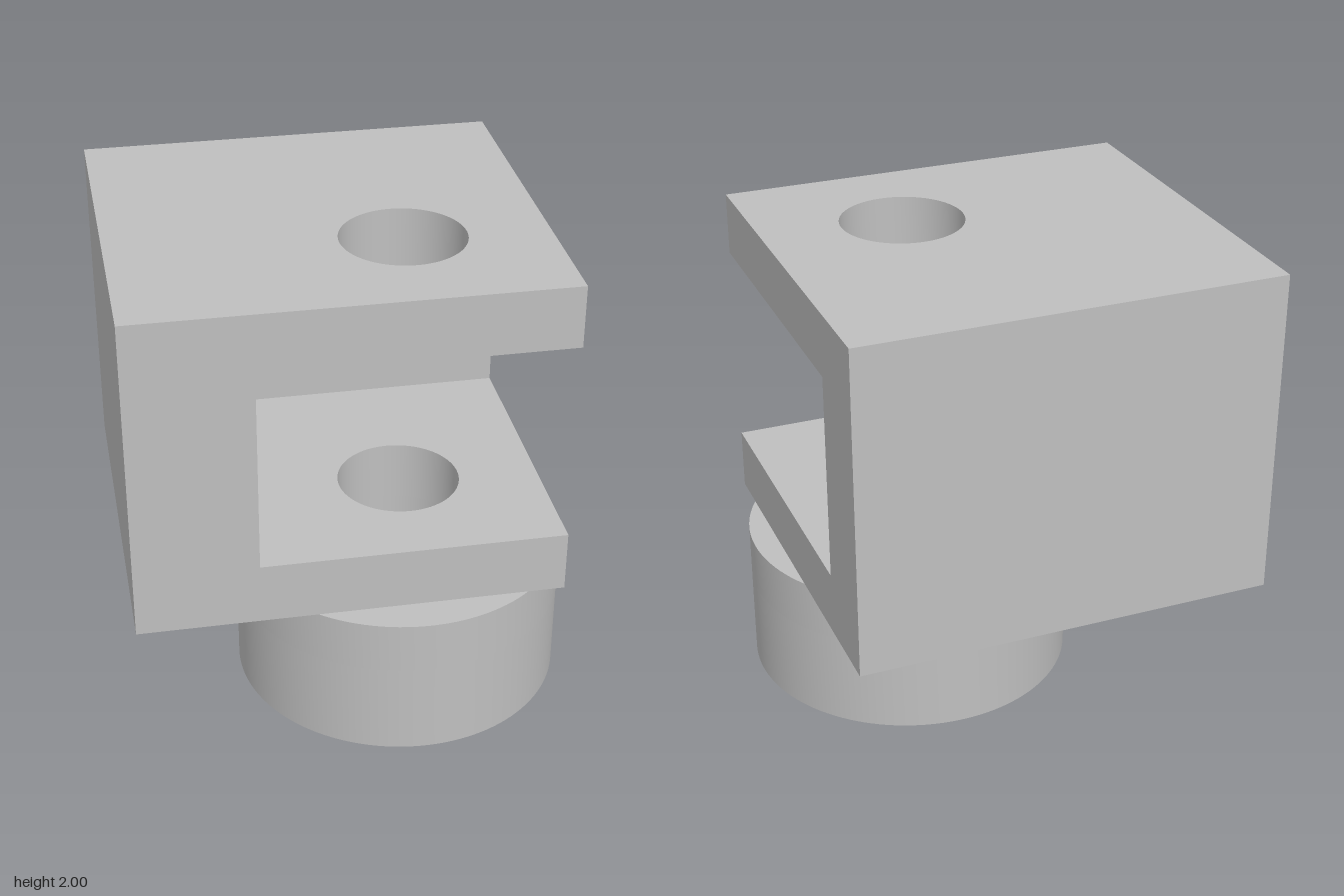
import * as THREE from 'three';
import { toCreasedNormals } from 'three/addons/utils/BufferGeometryUtils.js';

const AXIS = { x: 0.235, z: 0.193 }; // shared axis of bore, collar and socket
const BORE_R = 0.255, COLLAR_R = 0.69, HEX_R = 0.5;
const X0 = -0.93, X1 = 0.82, Z0 = -0.88, Z1 = 0.73; // block footprint
const NOTCH_X = -0.43, NOTCH_Z = -0.55;

// Outline drawn as (x, z) pairs
const outline = (pts) => new THREE.Shape(pts.map(([x, z]) => new THREE.Vector2(x, z)));

const circle = (r, Type = THREE.Path) => {
  const p = new Type();
  p.absarc(AXIS.x, AXIS.z, r, 0, Math.PI * 2, false);
  return p;
};

const hexagon = (r) => new THREE.Path(Array.from({ length: 6 }, (_, i) => {
  const a = Math.PI / 6 + i * Math.PI / 3;
  return new THREE.Vector2(AXIS.x + r * Math.cos(a), AXIS.z + r * Math.sin(a));
}));

// Stand a plan outline up between two heights
function slab(name, shape, holes, y0, y1, material) {
  shape.holes.push(...holes);
  const geo = new THREE.ExtrudeGeometry(shape, { depth: y1 - y0, bevelEnabled: false, curveSegments: 64 });
  geo.rotateX(Math.PI / 2);
  geo.translate(0, y1, 0);
  const mesh = new THREE.Mesh(toCreasedNormals(geo, Math.PI / 6), material);
  mesh.name = name;
  return mesh;
}

export function createModel() {
  const grey = new THREE.MeshStandardMaterial({ color: 0xbfbfbf });
  grey.name = 'grey';
  const group = new THREE.Group();
  group.name = 'cornerClevis';

  const square = () => outline([[X0, Z0], [X1, Z0], [X1, Z1], [X0, Z1]]);
  const corner = outline([[X0, Z0], [X1, Z0], [X1, NOTCH_Z], [NOTCH_X, NOTCH_Z], [NOTCH_X, Z1], [X0, Z1]]);

  group.add(
    // Block: two bored plates joined by an L-shaped wall
    slab('topPlate', square(), [circle(BORE_R)], 1.74, 2, grey),
    slab('cornerWall', corner, [], 0.88, 1.74, grey),
    slab('bottomPlate', square(), [circle(BORE_R)], 0.62, 0.88, grey),
    // Collar: bored upper part above a hexagonal socket
    slab('collarTop', circle(COLLAR_R, THREE.Shape), [circle(BORE_R)], 0.4, 0.62, grey),
    slab('collarSocket', circle(COLLAR_R, THREE.Shape), [hexagon(HEX_R)], 0, 0.4, grey),
  );
  return group;
}
